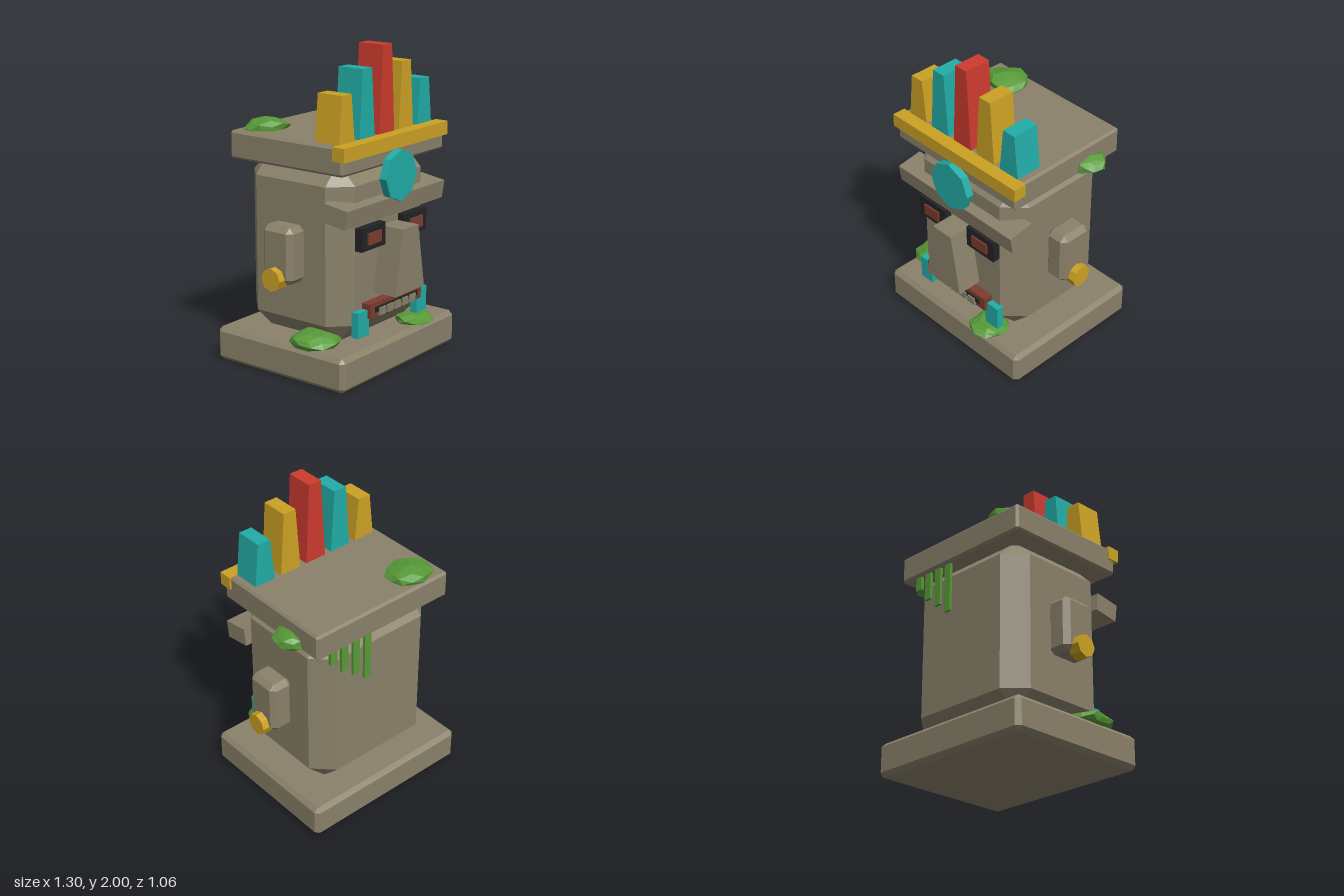
import * as THREE from 'three';
import { ConvexGeometry } from 'three/addons/geometries/ConvexGeometry.js';

const mat = (name, color) => {
  const m = new THREE.MeshStandardMaterial({ color });
  m.name = name;
  return m;
};

// Box with all edges cut at 45 degrees
function chamferBox(w, h, d, c) {
  const pts = [];
  for (const sx of [-1, 1]) for (const sy of [-1, 1]) for (const sz of [-1, 1]) {
    const x = w / 2, y = h / 2, z = d / 2;
    pts.push(
      new THREE.Vector3(sx * x, sy * (y - c), sz * (z - c)),
      new THREE.Vector3(sx * (x - c), sy * y, sz * (z - c)),
      new THREE.Vector3(sx * (x - c), sy * (y - c), sz * z));
  }
  return new ConvexGeometry(pts);
}

// Box narrowed in x towards the top
function taperedBox(bottom, top, h, d) {
  const g = new THREE.BoxGeometry(bottom, h, d);
  const p = g.attributes.position;
  for (let i = 0; i < p.count; i++) if (p.getY(i) > 0) p.setX(i, p.getX(i) * top / bottom);
  g.computeVertexNormals();
  return g;
}

// Eight-sided disc with flat sides
function disc(r, h) {
  const g = new THREE.CylinderGeometry(r, r, h, 8).toNonIndexed();
  g.computeVertexNormals();
  return g;
}

// Irregular faceted clump
function clump(rx, ry, rz, seed) {
  const g = new THREE.IcosahedronGeometry(1, 1);
  const p = g.attributes.position;
  for (let i = 0; i < p.count; i++) {
    const [x, y, z] = [p.getX(i), p.getY(i), p.getZ(i)];
    const k = 0.94 + 0.1 * Math.sin(x * 5.1 + y * 7.3 + z * 3.7 + seed);
    p.setXYZ(i, x * k * rx, y * k * ry, z * k * rz);
  }
  g.computeVertexNormals();
  return g;
}

export function createModel() {
  const model = new THREE.Group();
  model.name = 'stoneHead';
  const stone = mat('stone', 0x8a816a);
  const gold = mat('gold', 0xcca224);
  const teal = mat('teal', 0x22aca6);
  const red = mat('red', 0xcc3b2e);
  const moss = mat('moss', 0x579a38);
  const dark = mat('dark', 0x222325);
  const clay = mat('clay', 0x7a3c2e);

  const add = (name, geo, material, x, y, z) => {
    const m = new THREE.Mesh(geo, material);
    m.name = name;
    m.position.set(x, y, z);
    model.add(m);
    return m;
  };
  const box = (w, h, d) => new THREE.BoxGeometry(w, h, d);
  const midZ = -0.028;

  // Main stone blocks
  add('base', chamferBox(1.18, 0.215, 1.0, 0.027), stone, 0, 0.1075, midZ);
  add('head', chamferBox(0.92, 1.11, 0.785, 0.125), stone, 0, 0.77, midZ);
  add('crownSlab', chamferBox(1.03, 0.175, 0.865, 0.015), stone, 0, 1.3775, -0.023);

  // Crown band and feathers
  add('crownBand', box(1.055, 0.085, 0.088), gold, 0, 1.425, 0.388);
  const tops = [1.75, 1.88, 2.0, 1.88, 1.75];
  [gold, teal, red, gold, teal].forEach((m, i) => {
    const h = tops[i] - 1.455;
    add('feather', taperedBox(0.15, 0.09, h, 0.178), m, (i - 2) * 0.196, 1.455 + h / 2, 0.258);
  });

  // Forehead medallion
  add('medallion', disc(0.159, 0.05), teal, 0, 1.22, 0.435).rotation.x = Math.PI / 2;

  // Brow and nose
  add('brow', box(1.0, 0.115, 0.175), stone, 0, 1.048, 0.339).rotation.x = 0.15;
  add('nose', taperedBox(0.3, 0.16, 0.407, 0.2), stone, 0, 0.708, 0.43);

  for (const s of [-1, 1]) {
    // Eyes
    add('eyeSocket', box(0.235, 0.143, 0.06), dark, s * 0.215, 0.877, 0.385);
    add('pupil', box(0.13, 0.072, 0.03), clay, s * 0.215, 0.875, 0.411);
    // Ears with plugs
    add('ear', chamferBox(0.16, 0.352, 0.23, 0.033), stone, s * 0.524, 0.772, midZ + 0.003);
    add('earPlug', disc(0.072, 0.08), gold, s * 0.61, 0.63, -0.026).rotation.z = Math.PI / 2;
    // Cheek ornaments
    add('cheekOrnament', box(0.106, 0.16, 0.05), teal, s * 0.304, 0.35, 0.382);
  }

  // Mouth and teeth
  add('lips', box(0.53, 0.09, 0.08), clay, 0, 0.421, 0.388);
  add('mouthOpening', box(0.436, 0.034, 0.008), dark, 0, 0.423, 0.431);
  for (let i = -2; i <= 2; i++)
    add('tooth', box(0.06, 0.048, 0.03), stone, i * 0.078, 0.406, 0.43);

  // Moss clumps
  add('topMoss', clump(0.155, 0.062, 0.14, 1), moss, -0.32, 1.472, -0.322);
  add('edgeMoss', clump(0.095, 0.055, 0.117, 2), moss, 0.52, 1.335, -0.21);
  add('sideMoss', clump(0.185, 0.058, 0.16, 3), moss, -0.45, 0.248, 0.16);
  add('frontMoss', clump(0.132, 0.04, 0.125, 4), moss, 0.262, 0.235, 0.385);

  // Vines hanging down the back
  [[0.375, 1.2], [0.29, 1.11], [0.2, 1.04], [0.11, 0.97]].forEach(([x, y]) =>
    add('vine', box(0.05, 1.3 - y, 0.02), moss, x, (1.3 + y) / 2, -0.427));

  return model;
}
